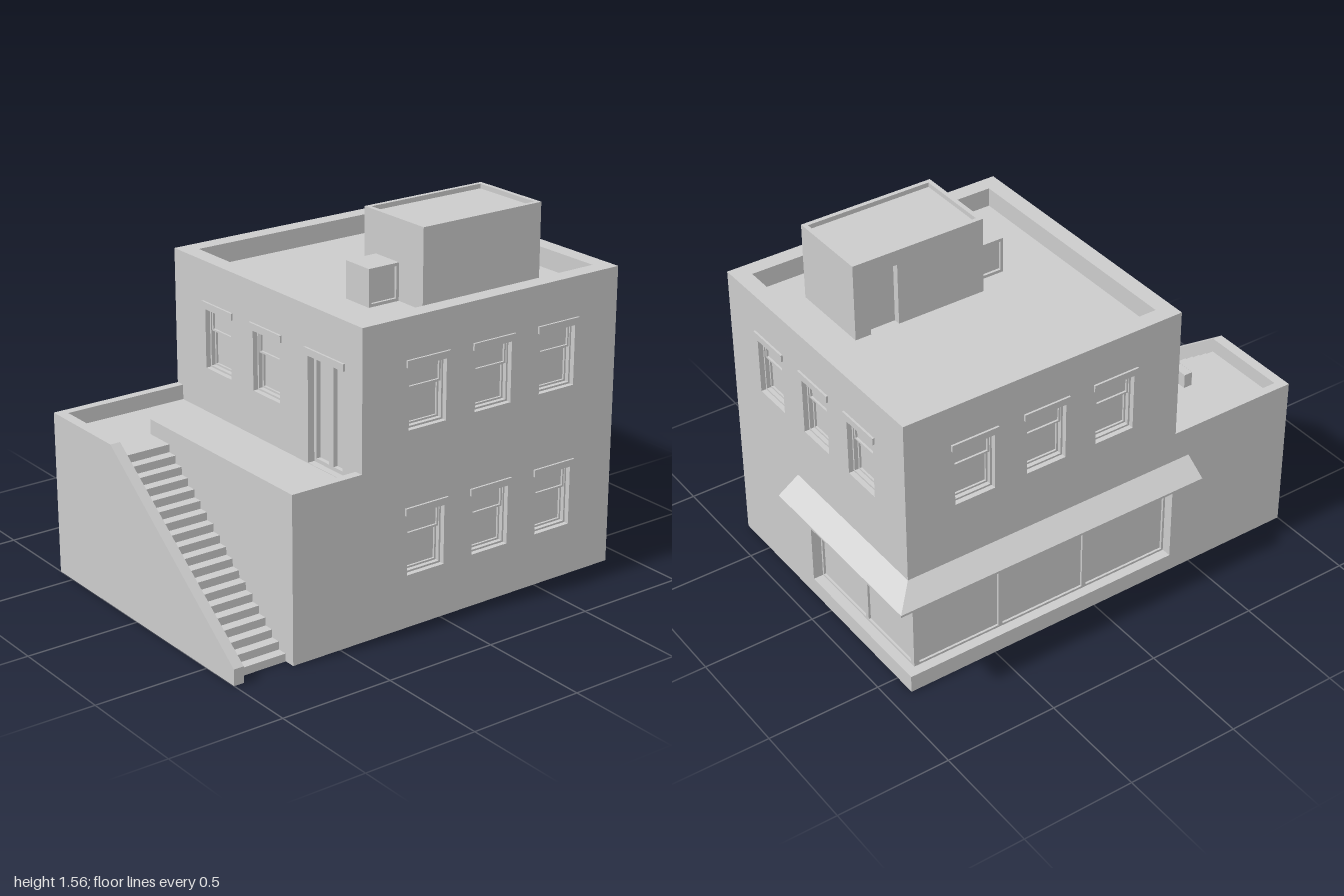
import * as THREE from 'three';

const mat = new THREE.MeshStandardMaterial({ color: 0xcccccc, flatShading: true });
// For single-sheet walls and recesses
const sheetMat = new THREE.MeshStandardMaterial({ color: 0xcccccc, flatShading: true, side: THREE.DoubleSide });

function add(parent, name, geometry, material = mat) {
  const mesh = new THREE.Mesh(geometry, material);
  mesh.name = name;
  parent.add(mesh);
  return mesh;
}

// Box given by its limits on each axis
function block(parent, name, x0, x1, y0, y1, z0, z1) {
  const mesh = add(parent, name, new THREE.BoxGeometry(x1 - x0, y1 - y0, z1 - z0));
  mesh.position.set((x0 + x1) / 2, (y0 + y1) / 2, (z0 + z1) / 2);
}

const points = list => list.map(p => new THREE.Vector2(...p));
const corners = (u0, u1, v0, v1) => points([[u0, v0], [u1, v0], [u1, v1], [u0, v1]]);

// Flat outline with rectangular holes, each [u0, u1, v0, v1]
function outline(edge, holes = []) {
  const shape = new THREE.Shape(edge);
  for (const h of holes) shape.holes.push(new THREE.Path(corners(...h).reverse()));
  return shape;
}

const wall = (side, edge, holes) =>
  add(side, 'wall', new THREE.ShapeGeometry(outline(edge, holes)), sheetMat);

// Group whose local +z is the outward normal of a vertical wall
function wallSide(parent, name, angle, distance) {
  const group = new THREE.Group();
  group.name = name;
  group.rotation.y = angle;
  group.position.set(Math.sin(angle) * distance, 0, Math.cos(angle) * distance);
  parent.add(group);
  return group;
}

// Inward-facing box, open towards +z
function recessGeometry(u0, u1, v0, v1, depth) {
  const g = new THREE.BoxGeometry(u1 - u0, v1 - v0, depth);
  const index = Array.from(g.index.array);
  index.splice(24, 6);
  g.setIndex(index.reverse());
  g.clearGroups();
  g.computeVertexNormals();
  return g.translate((u0 + u1) / 2, (v0 + v1) / 2, -depth / 2);
}

// Rectangular frame bars between z0 and z1
function frame(parent, name, u0, u1, v0, v1, t, z0, z1) {
  const shape = outline(corners(u0, u1, v0, v1), [[u0 + t, u1 - t, v0 + t, v1 - t]]);
  add(parent, name, new THREE.ExtrudeGeometry(shape, { depth: z1 - z0, bevelEnabled: false })).position.z = z0;
}

const lintel = (side, [u0, u1, , v1]) =>
  block(side, 'lintel', u0 - 0.0145, u1 + 0.0145, v1, v1 + 0.03, 0, 0.009);

// Sash window set into a hole, upper sash in front of the lower
function sashWindow(side, hole) {
  const [u0, u1, v0, v1] = hole;
  const rail = v0 + 0.16;
  add(side, 'windowRecess', recessGeometry(...hole, 0.05), sheetMat);
  frame(side, 'windowFrame', u0, u1, v0, v1, 0.008, -0.049, -0.022);
  frame(side, 'upperSash', u0 + 0.008, u1 - 0.008, rail, v1 - 0.008, 0.008, -0.049, -0.027);
  frame(side, 'lowerSash', u0 + 0.008, u1 - 0.008, v0 + 0.008, rail, 0.008, -0.049, -0.04);
  block(side, 'upperPane', u0 + 0.015, u1 - 0.015, rail + 0.001, v1 - 0.015, -0.049, -0.036);
  lintel(side, hole);
}

// Parapet top and sunken roof floor
function parapetRoof(parent, x0, x1, z0, z1, top, t, depth) {
  const inner = [x0 + t, x1 - t, -z1 + t, -z0 - t];
  const rim = new THREE.ShapeGeometry(outline(corners(x0, x1, -z1, -z0), [inner]));
  const basin = recessGeometry(...inner, depth);
  add(parent, 'parapetTop', rim.rotateX(-Math.PI / 2), sheetMat).position.y = top;
  add(parent, 'roofBasin', basin.rotateX(-Math.PI / 2), sheetMat).position.y = top;
}

// Canopy swept around the shop corner with a mitre
function awningGeometry() {
  const profile = [[0, 0.503], [0.095, 0.503], [0.095, 0.513], [0, 0.577]];
  const stations = [
    o => [0.905 + o, 0.21],
    o => [0.905 + o, -0.6 - o],
    o => [-0.47, -0.6 - o],
  ].map(f => profile.map(([o, y]) => { const [x, z] = f(o); return [x, y, z]; }));
  const pos = [];
  const quad = (a, b, c, d) => pos.push(...a, ...b, ...c, ...a, ...c, ...d);
  for (let i = 0; i < 2; i++) {
    for (let j = 0; j < 4; j++) {
      const k = (j + 1) % 4;
      quad(stations[i][j], stations[i + 1][j], stations[i + 1][k], stations[i][k]);
    }
  }
  quad(...stations[0]);
  quad(...stations[2].slice().reverse());
  const g = new THREE.BufferGeometry();
  g.setAttribute('position', new THREE.Float32BufferAttribute(pos, 3));
  g.computeVertexNormals();
  return g;
}

export function createModel() {
  const model = new THREE.Group();
  model.name = 'cornerShopBuilding';
  const row = (centres, v) => centres.map(u => [u - 0.0925, u + 0.0925, v, v + 0.26]);
  const columns = [-0.0775, 0.2535, 0.5885];
  const sill = 0.842, shop0 = 0.077, shop1 = 0.487;

  // Walls, with the low annex part of the front and back in one sheet
  const front = wallSide(model, 'frontWall', 0, 0.684);
  const left = wallSide(model, 'leftWall', Math.PI / 2, 0.905);
  const back = wallSide(model, 'backWall', Math.PI, 0.6);
  const right = wallSide(model, 'rightWall', -Math.PI / 2, 0.396);

  const frontHoles = [...row(columns, sill), ...row(columns, 0.228)];
  wall(front, points([[-0.725, 0], [0.905, 0], [0.905, 1.305], [-0.396, 1.305], [-0.396, 0.713],
    [-0.725, 0.713]]), frontHoles);

  const leftHoles = row([-0.377, -0.04, 0.29], sill);
  wall(left, points([[-0.684, 0], [0.6, 0], [0.6, shop0], [-0.135, shop0], [-0.135, shop1],
    [0.6, shop1], [0.6, 1.305], [-0.684, 1.305]]), leftHoles);

  const backHoles = row(columns.map(x => -x), sill);
  wall(back, points([[-0.905, 0], [1, 0], [1, 0.713], [0.396, 0.713], [0.396, 1.305], [-0.905, 1.305],
    [-0.905, shop1], [0.396, shop1], [0.396, shop0], [-0.905, shop0]]), backHoles);

  const rightHoles = row([-0.285, 0.055], sill);
  const door = [0.335, 0.56, 0.65, 1.102];
  wall(right, corners(-0.6, 0.684, 0.64, 1.305), [...rightHoles, door]);

  for (const [side, holes] of [[front, frontHoles], [left, leftHoles], [back, backHoles], [right, rightHoles]])
    holes.forEach(h => sashWindow(side, h));

  // Terrace double door
  add(right, 'doorRecess', recessGeometry(...door, 0.05), sheetMat);
  for (const u of [0.335, 0.4475]) frame(right, 'doorLeaf', u, u + 0.1125, 0.65, 1.102, 0.016, -0.049, -0.03);
  lintel(right, door);

  // Main roof
  parapetRoof(model, -0.396, 0.905, -0.6, 0.684, 1.305, 0.073, 0.085);

  // Corner shop window: ledge, soffit, jambs and glazing
  for (const [name, y] of [['shopLedge', shop0 - 0.01], ['shopSoffit', shop1]]) {
    block(model, name, -0.396, 0.904, y, y + 0.01, -0.599, -0.555);
    block(model, name, 0.86, 0.904, y, y + 0.01, -0.555, 0.135);
  }
  block(model, 'shopJamb', 0.85, 0.904, shop0, shop1, 0.135, 0.145);
  block(model, 'shopJamb', -0.406, -0.396, shop0, shop1, -0.599, -0.545);
  const glaze = (side, start, width, count) => {
    for (let i = 0; i < count; i++) {
      const u = start + i * width;
      frame(side, 'shopFrame', u, u + width, shop0, shop1, 0.01, -0.06, -0.045);
      block(side, 'shopPane', u, u + width, shop0, shop1, -0.07, -0.055);
    }
  };
  glaze(back, -0.86, 0.4185, 3);
  glaze(left, -0.135, 0.345, 2);
  add(model, 'awning', awningGeometry());

  // Side annex: stair-side wall, parapets and floors
  wall(wallSide(model, 'annexStairWall', -Math.PI / 2, 0.725), corners(-0.3, 0.684, 0, 0.713));
  block(model, 'parapet', -0.999, -0.396, 0.635, 0.713, -0.599, -0.56);
  block(model, 'parapet', -0.724, -0.396, 0.635, 0.713, 0.644, 0.683);
  block(model, 'parapet', -0.724, -0.685, 0.635, 0.713, -0.3, 0.644);
  block(model, 'terraceFloor', -0.724, -0.396, 0.635, 0.648, -0.56, 0.683);
  block(model, 'stairLanding', -0.955, -0.724, 0.615, 0.648, -0.56, -0.16);

  // Outer stair wall with sloping top
  const slope = points([[-0.6, 0], [0.684, 0], [0.684, 0.07], [-0.16, 0.713], [-0.6, 0.713]]);
  add(model, 'outerStairWall', new THREE.ExtrudeGeometry(outline(slope), { depth: 0.045, bevelEnabled: false })
    .rotateY(-Math.PI / 2)).position.x = -0.955;

  // Stair flight, one riser short of the landing
  const steps = 18, rise = 0.648 / (steps + 1), run = 0.795 / steps;
  for (let i = 0; i < steps; i++) {
    const z = 0.635 - i * run;
    block(model, 'step', -0.955, -0.726, Math.max(0, (i - 1) * rise), (i + 1) * rise, z - run, z);
  }

  // Rooftop stair house
  const house = new THREE.Group();
  house.name = 'stairHouse';
  model.add(house);
  const sides = [[0, 0.457, 0.075, 0.682], [Math.PI / 2, 0.682, -0.457, -0.08],
    [Math.PI, -0.08, -0.682, -0.075], [-Math.PI / 2, -0.075, 0.08, 0.457]];
  const houseDoor = [-0.61, -0.48, 1.22, 1.495];
  sides.forEach(([angle, distance, u0, u1], i) => {
    const side = wallSide(house, 'stairHouseWall', angle, distance);
    wall(side, corners(u0, u1, 1.21, 1.56), i === 2 ? [houseDoor] : []);
    if (i === 2) add(side, 'stairHouseDoor', recessGeometry(...houseDoor, 0.03), sheetMat);
  });
  parapetRoof(house, 0.075, 0.682, 0.08, 0.457, 1.56, 0.02, 0.02);

  // Rooftop cooling unit
  block(model, 'coolingUnit', -0.075, 0.075, 1.22, 1.38, 0.167, 0.293);
  for (const z of [0.155, 0.293]) frame(model, 'coolingUnitRim', -0.075, 0.075, 1.22, 1.38, 0.013, z, z + 0.012);

  return model;
}
